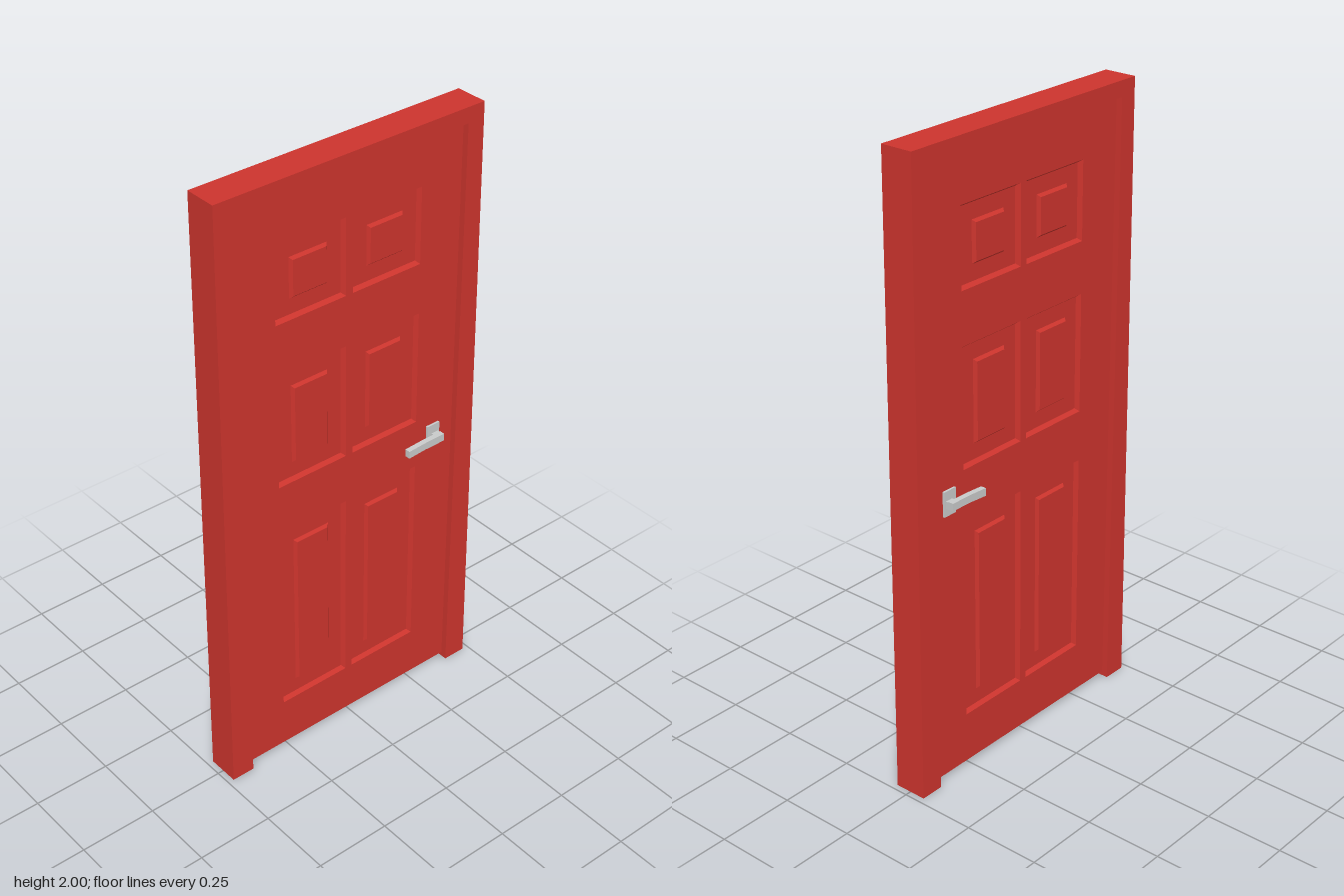
import * as THREE from 'three';

const FACE = 0.033;   // half thickness of the door leaf
const FRAME = 0.053;  // half thickness of the frame

// Extrude a (z, y) outline along x, between x0 and x1
function slab(points, x0, x1, holes = []) {
  const toShape = pts => new THREE.Shape(pts.map(([z, y]) => new THREE.Vector2(z, y)));
  const shape = toShape(points);
  shape.holes = holes.map(toShape);
  const geo = new THREE.ExtrudeGeometry(shape, { depth: x1 - x0, bevelEnabled: false });
  return geo.rotateY(-Math.PI / 2).translate(x1, 0, 0);
}

// Corners of a rectangle shrunk by an inset
const rect = ([z0, z1, y0, y1], i = 0) =>
  [[z0 + i, y0 + i], [z0 + i, y1 - i], [z1 - i, y1 - i], [z1 - i, y0 + i]];

// Sunk moulding with a raised field: nested rectangles at changing depths
function panelGeometry(area, side) {
  const steps = [[0, FACE], [0.009, FACE - 0.013], [0.059, FACE - 0.013], [0.067, FACE - 0.004]];
  const loops = steps.map(([inset, x]) => rect(area, inset).map(([z, y]) => [side * x, y, z]));
  const pos = [];
  const quad = (a, b, c, d) => {
    const order = side > 0 ? [a, b, c, a, c, d] : [a, c, b, a, d, c];
    order.forEach(p => pos.push(...p));
  };
  for (let l = 0; l < loops.length - 1; l++) {
    for (let i = 0; i < 4; i++) {
      const j = (i + 1) % 4;
      quad(loops[l][i], loops[l][j], loops[l + 1][j], loops[l + 1][i]);
    }
  }
  quad(...loops[loops.length - 1]);
  const geo = new THREE.BufferGeometry();
  geo.setAttribute('position', new THREE.Float32BufferAttribute(pos, 3));
  geo.computeVertexNormals();
  return geo;
}

export function createModel() {
  const red = new THREE.MeshStandardMaterial({ color: 0xcc342d });
  red.name = 'red paint';
  const metal = new THREE.MeshStandardMaterial({ color: 0xc8caca });
  metal.name = 'handle metal';

  const door = new THREE.Group();
  door.name = 'door';
  const add = (parent, name, geo, mat) => {
    const mesh = new THREE.Mesh(geo, mat);
    mesh.name = name;
    parent.add(mesh);
    return mesh;
  };

  // Frame: jambs widen slightly towards the floor
  add(door, 'frame', slab([
    [-0.48, 0], [-0.403, 0], [-0.412, 1.95], [0.412, 1.95],
    [0.403, 0], [0.48, 0], [0.47, 2], [-0.47, 2],
  ], -FRAME, FRAME), red);

  // Leaf with six panel openings
  const areas = [];
  for (const [y0, y1] of [[0.18, 0.84], [1.005, 1.385], [1.55, 1.797]]) {
    areas.push([0.0125, 0.2625, y0, y1], [-0.2625, -0.0125, y0, y1]);
  }
  add(door, 'leaf', slab(
    [[-0.403, 0.015], [0.403, 0.015], [0.412, 1.95], [-0.412, 1.95]],
    -FACE, FACE, areas.map(a => rect(a))), red);

  // Panels and a lever handle on both faces
  for (const side of [1, -1]) {
    const panels = new THREE.Group();
    panels.name = side > 0 ? 'leftPanels' : 'rightPanels';
    areas.forEach(a => add(panels, 'panel', panelGeometry(a, side), red));
    door.add(panels);

    const handle = new THREE.Group();
    handle.name = side > 0 ? 'leftHandle' : 'rightHandle';
    const span = (a, b) => side > 0 ? [a, b] : [-b, -a];
    add(handle, 'handlePlate',
      slab(rect([-0.352, -0.304, 0.89, 0.97]), ...span(FACE - 0.002, FACE + 0.007)), metal);
    add(handle, 'handleSpindle',
      slab(rect([-0.347, -0.32, 0.917, 0.94]), ...span(FACE, 0.054)), metal);
    add(handle, 'handleLever', slab(
      [[-0.347, 0.918], [-0.28, 0.918], [-0.207, 0.913], [-0.207, 0.938], [-0.28, 0.942], [-0.347, 0.942]],
      ...span(0.05, 0.068)), metal);
    door.add(handle);
  }
  return door;
}
